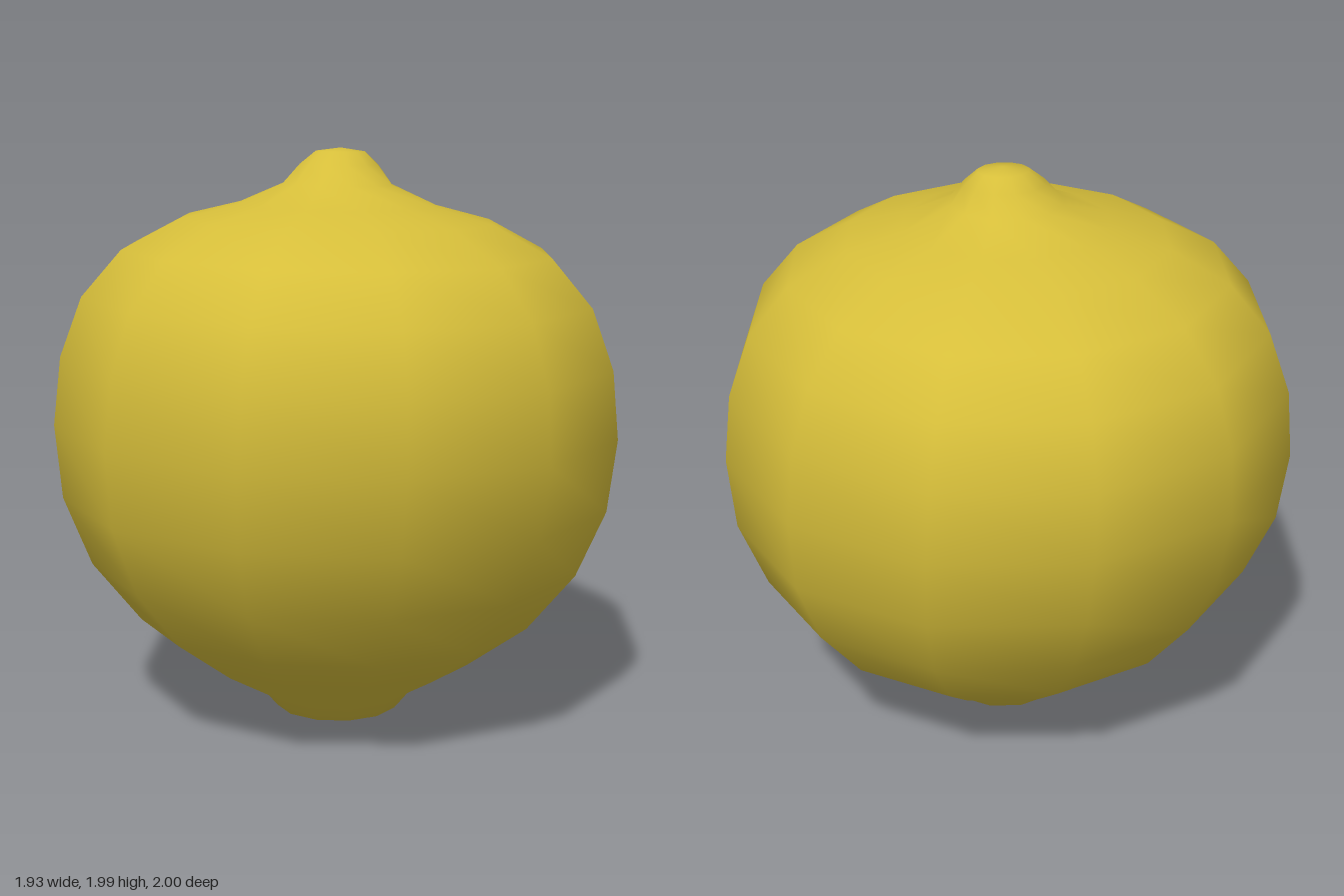
import * as THREE from 'three';
import { mergeVertices } from 'three/addons/utils/BufferGeometryUtils.js';

// Cross-sections from bottom to top: [height, half width in x, half depth in z]
const RINGS = [
  [0.005, 0, 0],
  [0.035, 0.215, 0.2],
  [0.1, 0.27, 0.245],
  [0.22, 0.48, 0.44],
  [0.375, 0.69, 0.645],
  [0.58, 0.853, 0.81],
  [0.815, 0.945, 0.935],
  [1.065, 0.967, 1.0],
  [1.295, 0.94, 1.0],
  [1.495, 0.865, 0.935],
  [1.65, 0.73, 0.8],
  [1.752, 0.535, 0.592],
  [1.8, 0.345, 0.385],
  [1.87, 0.188, 0.2],
  [1.935, 0.135, 0.135],
  [1.978, 0.085, 0.082],
  [1.99, 0, 0],
];
const SIDES = 12;
const TWIST = -0.022; // slight turn of the facets
const TILT = 0.015;   // rings sit a little higher on the right (-x)

export function createModel() {
  const group = new THREE.Group();
  group.name = 'citrusFruit';
  const peel = new THREE.MeshStandardMaterial({ color: 0xd6be3a });
  peel.name = 'yellow peel';

  // Turned body, then each ring stretched to its own width
  const profile = RINGS.map(([y, , rz]) => new THREE.Vector2(rz, y));
  let geometry = new THREE.LatheGeometry(profile, SIDES, TWIST, Math.PI * 2);
  const p = geometry.attributes.position;
  for (let i = 0; i < p.count; i++) {
    const [y, rx, rz] = RINGS[i % RINGS.length];
    const x = rz ? p.getX(i) * rx / rz : 0;
    // the stem tip leans slightly
    const lean = y > 1.85 ? (y - 1.85) * 0.12 : 0;
    p.setXYZ(i, x + lean, y - TILT * x, p.getZ(i) - lean);
  }

  // Weld the seam for smooth shading all round
  geometry.deleteAttribute('normal');
  geometry.deleteAttribute('uv');
  geometry = mergeVertices(geometry, 1e-4);
  geometry.computeVertexNormals();

  const body = new THREE.Mesh(geometry, peel);
  body.name = 'fruitBody';
  group.add(body);
  return group;
}
